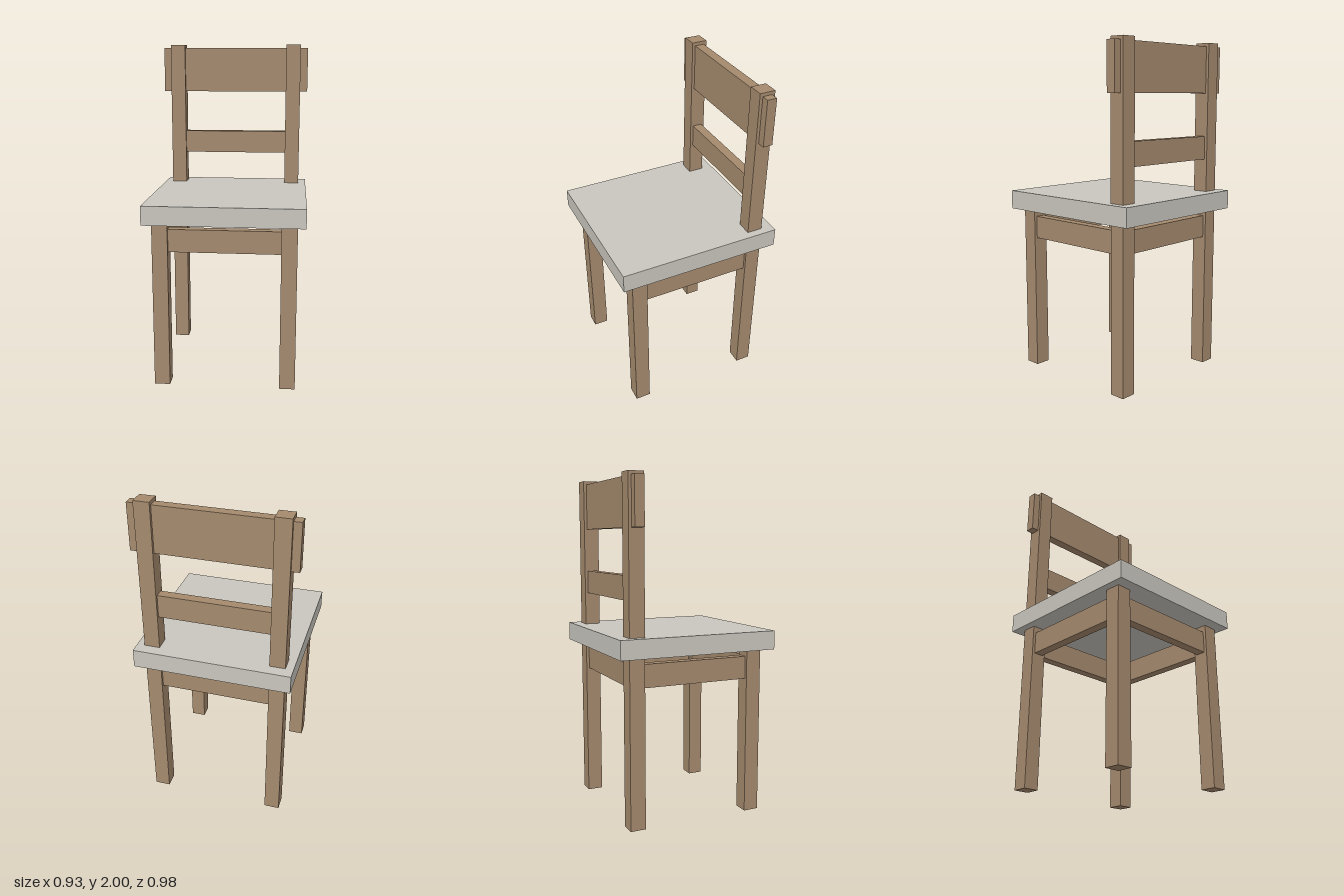
import * as THREE from 'three';

export function createModel() {
  const group = new THREE.Group();
  const wood = new THREE.MeshStandardMaterial({ color: 0xa58a6e });
  wood.name = 'wood';
  const pale = new THREE.MeshStandardMaterial({ color: 0xc9c6be });
  pale.name = 'pale seat';

  // Box given by its size, its bottom height and its centre in x and z
  function box(name, w, h, d, x, bottom, z, material = wood) {
    const mesh = new THREE.Mesh(new THREE.BoxGeometry(w, h, d), material);
    mesh.position.set(x, bottom + h / 2, z);
    mesh.name = name;
    group.add(mesh);
  }

  const post = 0.092; // square section of legs and posts
  const off = 0.373; // distance of leg centres from the middle
  const span = 2 * off - post; // clear distance between legs
  const board = 0.057; // thickness of rails
  const seatBottom = 0.995;
  const seatTop = 1.107;

  // Seat slab
  box('seat', 0.93, seatTop - seatBottom, 0.976, 0, seatBottom, 0, pale);

  // Legs, back posts and side aprons
  for (const [side, s] of [['left', 1], ['right', -1]]) {
    box(side + 'FrontLeg', post, seatBottom, post, s * off, 0, off);
    box(side + 'BackLeg', post, seatBottom, post, s * off, 0, -off);
    box(side + 'BackPost', post, 2 - seatTop, post, s * off, seatTop, -off);
    box(side + 'Apron', board, 0.135, span, s * off, 0.82, 0);
  }

  // Front and back aprons
  box('frontApron', span, 0.135, board, 0, 0.82, off);
  box('backApron', span, 0.135, board, 0, 0.82, -off);

  // Backrest: lower rail between the posts, wide top rail through them
  box('lowerBackRail', span, 0.14, board, 0, 1.305, -off);
  box('topBackRail', 0.93, 0.276, board, 0, 1.704, -off);

  return group;
}
